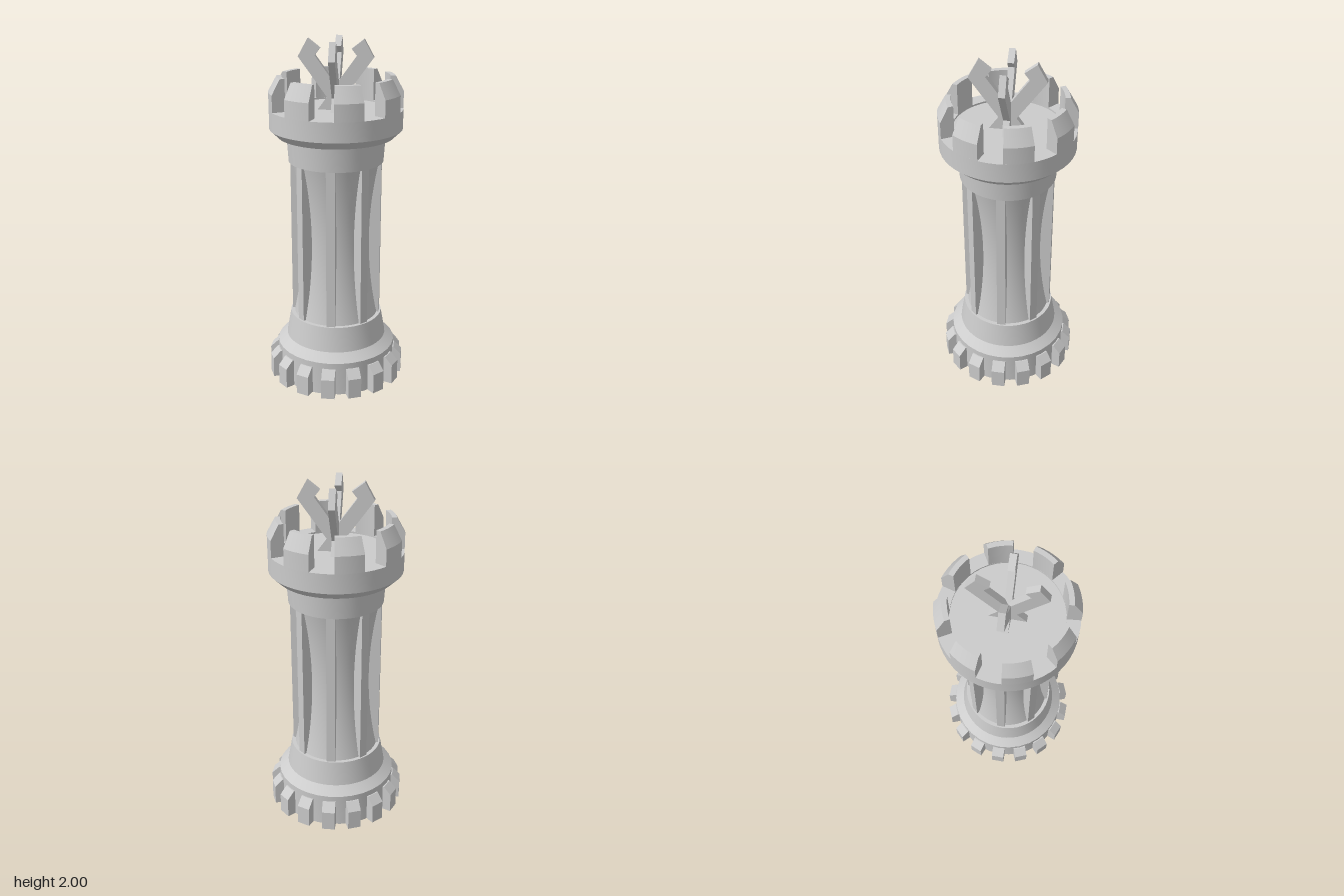
import * as THREE from 'three';
import { toCreasedNormals } from 'three/addons/utils/BufferGeometryUtils.js';

const solid = new THREE.MeshStandardMaterial({ color: 0xcccccc });
const thin = new THREE.MeshStandardMaterial({ color: 0xcccccc, side: THREE.DoubleSide });
const rad = THREE.MathUtils.degToRad;
const vectors = (points) => points.map(([x, y]) => new THREE.Vector2(x, y));

// Turned part from a [radius, height] profile, with sharp edges kept
function turned(points, segments = 48, start = 0, length = Math.PI * 2) {
  return toCreasedNormals(new THREE.LatheGeometry(vectors(points), segments, start, length), rad(25));
}

// Flat plate cut from an outline in the xy plane, centred on z = 0
function plate(points, thickness) {
  const geometry = new THREE.ExtrudeGeometry(new THREE.Shape(vectors(points)), {
    depth: thickness, bevelEnabled: false,
  });
  return geometry.translate(0, 0, -thickness / 2);
}

function add(parent, name, geometry, material = solid) {
  const mesh = new THREE.Mesh(geometry, material);
  mesh.name = name;
  parent.add(mesh);
  return mesh;
}

// Copies of one geometry, evenly turned about the vertical axis
function ring(parent, name, geometry, count) {
  const group = new THREE.Group();
  group.name = name + 's';
  for (let i = 0; i < count; i++) {
    add(group, name, geometry).rotation.y = (i / count) * Math.PI * 2;
  }
  parent.add(group);
}

export function createModel() {
  const model = new THREE.Group();
  model.name = 'rookTower';

  // Base: open hollow foot, sixteen bevelled teeth and a tapered plinth
  add(model, 'foot', turned([[0.35, 0], [0.35, 0.2], [0.295, 0.245], [0, 0.245]], 32), thin);
  ring(model, 'footTooth',
    plate([[0.315, 0], [0.4, 0], [0.4, 0.12], [0.355, 0.165], [0.315, 0.165]], 0.077), 16);
  add(model, 'plinth', turned([[0, 0.245], [0.296, 0.245], [0.27, 0.39], [0, 0.39]]));

  // Shaft: waisted core with eight straight ribs
  const core = [];
  for (let i = 0; i <= 20; i++) {
    const t = i / 20;
    core.push([0.197 + 0.053 * (2 * t - 1) ** 2, 0.38 + 0.95 * t]);
  }
  add(model, 'shaft', turned(core));
  ring(model, 'shaftRib', plate([[0.14, 0.385], [0.26, 0.385], [0.26, 1.325], [0.14, 1.325]], 0.05), 8);

  // Collar and crown bowl
  add(model, 'collar', turned([[0, 1.32], [0.27, 1.32], [0.28, 1.47], [0, 1.47]]));
  add(model, 'crown', turned([
    [0, 1.465], [0.328, 1.465], [0.375, 1.51], [0.375, 1.62], [0.3, 1.62], [0.3, 1.61], [0, 1.61],
  ]));

  // Battlements: eight bevelled ring segments with capped ends
  const profile = [[0.375, 1.62], [0.375, 1.715], [0.328, 1.8], [0.3, 1.8], [0.3, 1.62]];
  const half = rad(12.2);
  const wall = turned(profile, 6, -half, half * 2);
  const cap = new THREE.ShapeGeometry(new THREE.Shape(vectors(profile)));
  const battlements = new THREE.Group();
  battlements.name = 'battlements';
  for (let i = 0; i < 8; i++) {
    const merlon = new THREE.Group();
    merlon.name = 'merlon';
    add(merlon, 'merlonWall', wall);
    for (const side of [-1, 1]) {
      add(merlon, 'merlonEnd', cap, thin).rotation.y = side * half - Math.PI / 2;
    }
    merlon.rotation.y = rad(17.5 + 45 * i);
    battlements.add(merlon);
  }
  model.add(battlements);

  // Finial: four crossing slanted bars with barbed tips
  ring(model, 'finialBar', plate([
    [-0.01, 1.6], [0.209, 1.902], [0.155, 2], [0.087, 1.947], [0.116, 1.91], [-0.108, 1.6],
  ], 0.036), 4);

  return model;
}
